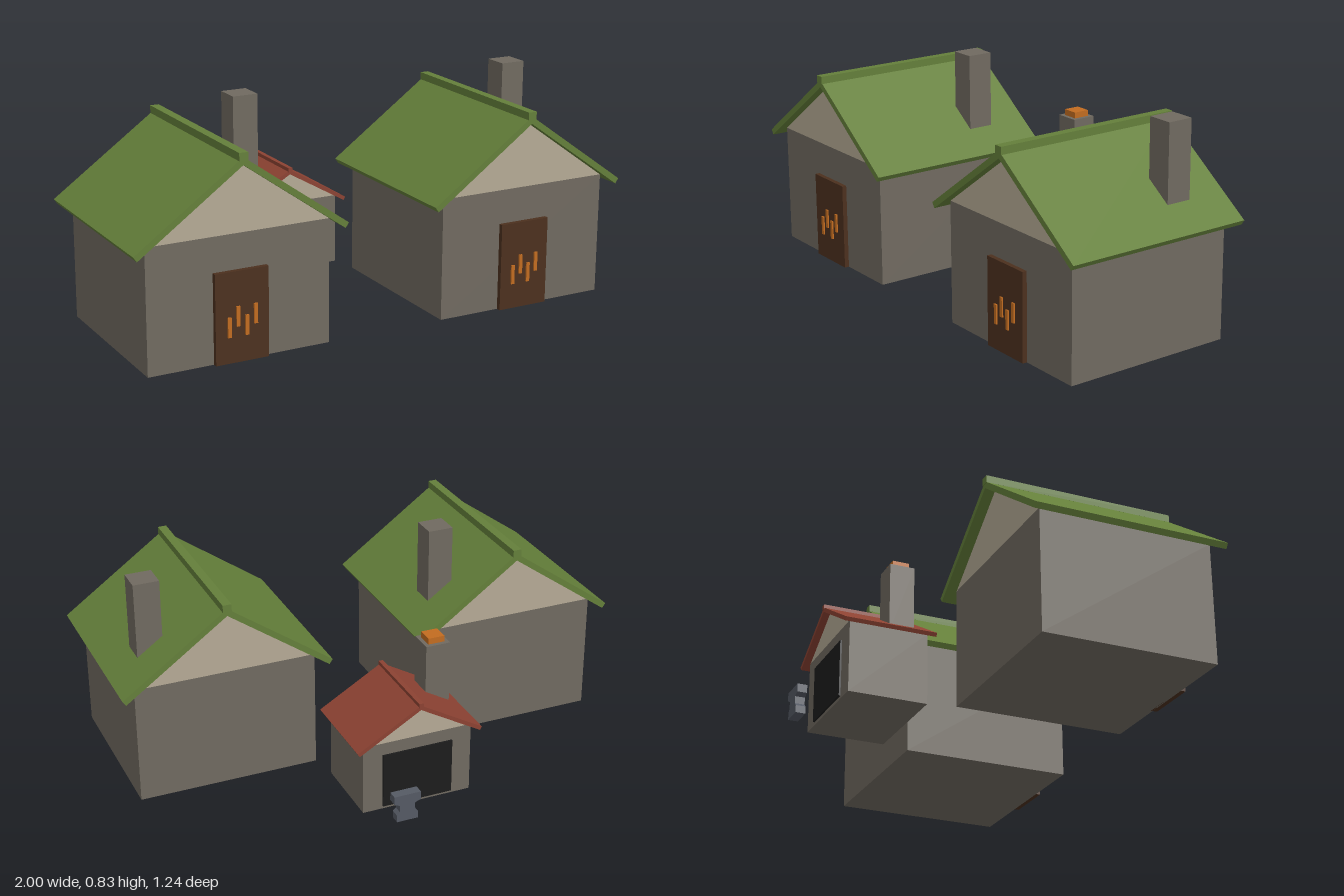
import * as THREE from 'three';

const mat = (name, color) => {
  const m = new THREE.MeshStandardMaterial({ color });
  m.name = name;
  return m;
};

export function createModel() {
  const model = new THREE.Group();
  model.name = 'village';

  const stone = mat('stone', 0x706a60);
  const plaster = mat('plaster', 0xb5aa95);
  const greenRoof = mat('greenRoof', 0x647f3a);
  const redRoof = mat('redRoof', 0x8c4232);
  const wood = mat('wood', 0x4c301e);
  const ember = mat('ember', 0xc26c20);
  const soot = mat('soot', 0x1c1c1c);
  const iron = mat('iron', 0x555a64);

  // Box given by its limits on each axis
  const box = (parent, name, material, [x0, x1], [y0, y1], [z0, z1]) => {
    const mesh = new THREE.Mesh(new THREE.BoxGeometry(x1 - x0, y1 - y0, z1 - z0), material);
    mesh.position.set((x0 + x1) / 2, (y0 + y1) / 2, (z0 + z1) / 2);
    mesh.name = name;
    parent.add(mesh);
  };

  // Profile in x and y, drawn out from z0 to z1
  const prism = (parent, name, material, points, [z0, z1]) => {
    const shape = new THREE.Shape(points.map(([x, y]) => new THREE.Vector2(x, y)));
    const geometry = new THREE.ExtrudeGeometry(shape, { depth: z1 - z0, bevelEnabled: false });
    const mesh = new THREE.Mesh(geometry, material);
    mesh.position.z = z0;
    mesh.name = name;
    parent.add(mesh);
  };

  // Walls, gable, two-sided roof slab and ridge cap shared by all houses
  const shell = (house, roofMaterial, d) => {
    const w = d.wallHalf;
    box(house, 'walls', stone, [-w, w], [0, d.wallTop], d.wallZ);
    prism(house, 'gable', plaster, [[-w, d.wallTop], [w, d.wallTop], [0, d.under]], d.wallZ);
    const [ox, oy] = d.eaveTop;
    const [ux, uy] = d.eaveUnder;
    prism(house, 'roof', roofMaterial,
      [[-ux, uy], [0, d.under], [ux, uy], [ox, oy], [0, d.apex], [-ox, oy]], d.roofZ);
    box(house, 'ridgeCap', roofMaterial, [-d.capHalf, d.capHalf], d.capY,
      [d.roofZ[0] - 0.002, d.roofZ[1] + 0.003]);
  };

  // Two large houses
  for (const side of [-1, 1]) {
    const house = new THREE.Group();
    house.name = side < 0 ? 'rightHouse' : 'leftHouse';
    house.position.x = side * 0.59;
    shell(house, greenRoof, {
      wallHalf: 0.353, wallTop: 0.468, wallZ: [-0.097, 0.577],
      under: 0.719, apex: 0.747, eaveTop: [0.41, 0.455], eaveUnder: [0.397, 0.436],
      roofZ: [-0.138, 0.617], capHalf: 0.017, capY: [0.735, 0.764],
    });
    box(house, 'door', wood, [-0.103, 0.103], [0, 0.337], [0.57, 0.595]);
    // Glowing marks on the door
    [-0.051, -0.017, 0.017, 0.051].forEach((x, i) => {
      const y = i % 2 ? 0.135 : 0.098;
      box(house, 'doorMark', ember, [x - 0.007, x + 0.007], [y, y + 0.074], [0.593, 0.601]);
    });
    box(house, 'chimney', stone, [0.2, 0.3], [0.5, 0.828], [0.021, 0.121]);
    model.add(house);
  }

  // Small forge behind
  const forge = new THREE.Group();
  forge.name = 'forge';
  shell(forge, redRoof, {
    wallHalf: 0.218, wallTop: 0.28, wallZ: [-0.511, -0.205],
    under: 0.403, apex: 0.421, eaveTop: [0.251, 0.275], eaveUnder: [0.243, 0.262],
    roofZ: [-0.538, -0.181], capHalf: 0.009, capY: [0.412, 0.43],
  });
  box(forge, 'chimney', stone, [-0.204, -0.106], [0.27, 0.548], [-0.352, -0.255]);
  box(forge, 'chimneyEmbers', ember, [-0.188, -0.122], [0.54, 0.572], [-0.336, -0.271]);
  box(forge, 'forgeOpening', soot, [-0.14, 0.14], [0.012, 0.231], [-0.518, -0.509]);
  model.add(forge);

  // Anvil with wide top, narrow waist and foot
  const half = [[0.042, 0], [0.042, 0.028], [0.03, 0.04], [0.03, 0.068], [0.053, 0.078], [0.053, 0.11]];
  const mirrored = half.map(([x, y]) => [-x, y]).reverse();
  prism(model, 'anvil', iron, [...half, ...mirrored].map(([x, y]) => [x + 0.087, y]), [-0.618, -0.58]);

  return model;
}
